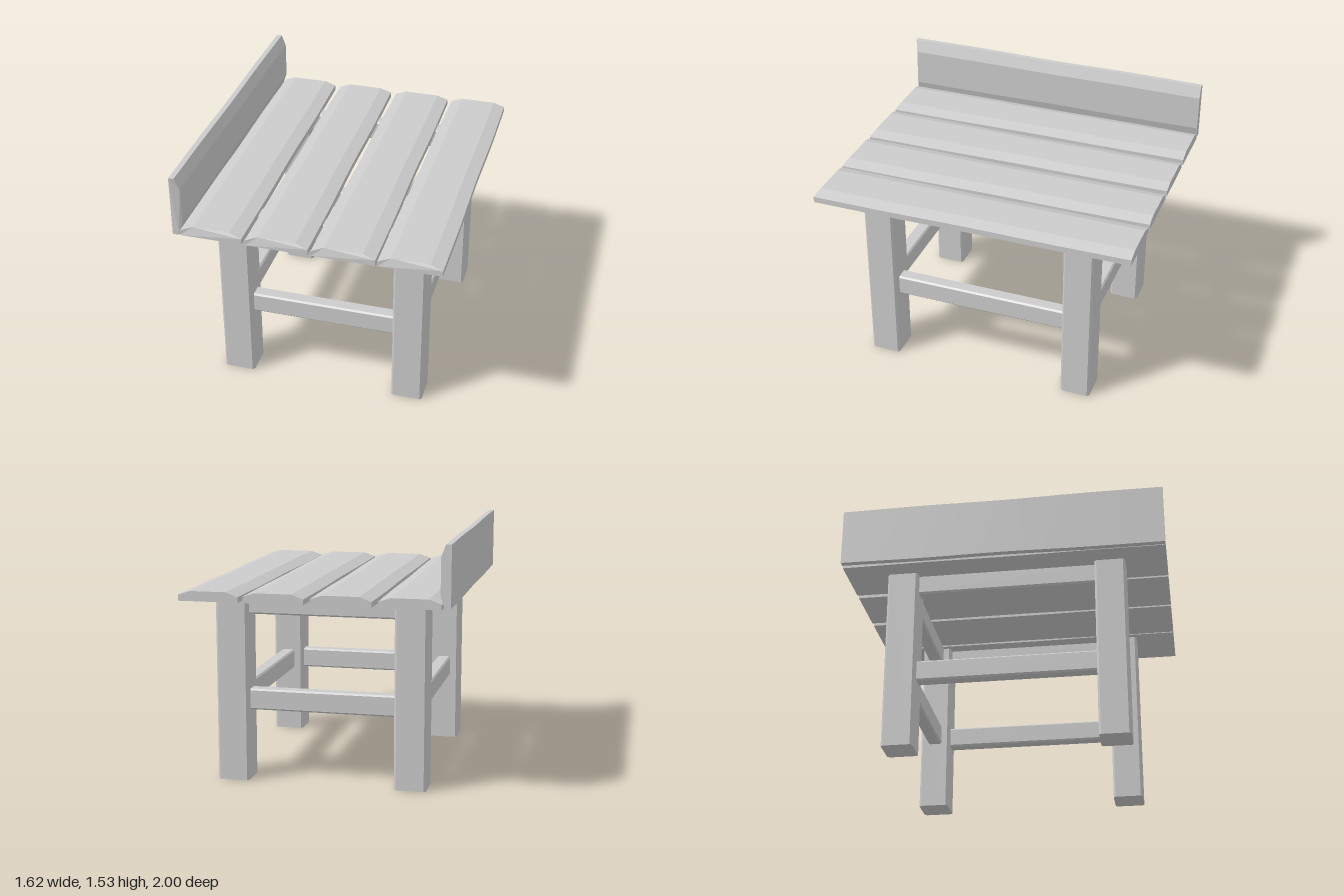
import * as THREE from 'three';

const material = new THREE.MeshStandardMaterial({ color: 0xcccccc, flatShading: true });

// Half width of a sawn plank from its back end to its front end
const edge = new THREE.SplineCurve([
  [-1, 0.182], [-0.5, 0.187], [0, 0.184], [0.5, 0.191], [1, 0.191],
].map(([z, w]) => new THREE.Vector2(z, w)));

// Crowned plank with slightly wavy edges, lying along z
function plankGeometry() {
  const profile = new THREE.Shape([
    [-1, 0], [1, 0], [1, 0.037], [0.6, 0.06], [-0.6, 0.06], [-1, 0.033],
  ].map(([x, y]) => new THREE.Vector2(x, y)));
  const geo = new THREE.ExtrudeGeometry(profile, { depth: 2, steps: 16, bevelEnabled: false });
  geo.translate(0, 0, -1);
  const p = geo.attributes.position;
  for (let i = 0; i < p.count; i++) {
    const z = p.getZ(i);
    p.setX(i, p.getX(i) * edge.getPoint((z + 1) / 2).y);
    // The crown is cut back a little at the front end
    if (z > 0.99 && p.getY(i) > 0.05) p.setZ(i, 0.986);
  }
  geo.computeVertexNormals();
  return geo;
}

// Square-cut timber with chamfered long edges, centred, lying along z
function beamGeometry(width, height, length, c) {
  const w = width / 2, h = height / 2;
  const profile = new THREE.Shape([
    [-w + c, -h], [w - c, -h], [w, -h + c], [w, h - c],
    [w - c, h], [-w + c, h], [-w, h - c], [-w, -h + c],
  ].map(([x, y]) => new THREE.Vector2(x, y)));
  const geo = new THREE.ExtrudeGeometry(profile, { depth: length, bevelEnabled: false });
  return geo.translate(0, 0, -length / 2);
}

export function createModel() {
  const model = new THREE.Group();
  model.name = 'plankBench';

  const add = (name, geo, x, y, z) => {
    const mesh = new THREE.Mesh(geo, material);
    mesh.name = name;
    mesh.position.set(x, y, z);
    model.add(mesh);
    return mesh;
  };

  // Seat planks and the upright side board
  const plank = plankGeometry();
  [-0.577, -0.175, 0.226, 0.619].forEach((x, i) => add(`seatPlank${i + 1}`, plank, x, 1.15, 0));
  add('sideBoard', plank, -0.812, 1.341, 0).rotation.z = -Math.PI / 2;

  // Legs
  const legX = [-0.539, 0.562], legZ = [-0.645, 0.65];
  const leg = beamGeometry(0.197, 0.19, 1.15, 0.013).rotateX(-Math.PI / 2);
  for (const x of legX) {
    for (const z of legZ) {
      add(`${z > 0 ? 'front' : 'back'}${x > 0 ? 'Left' : 'Right'}Leg`, leg, x, 0.575, z);
    }
  }

  // Upper and lower rails between the legs
  const sideRail = beamGeometry(0.088, 0.13, 1.12, 0.01);
  const crossRail = beamGeometry(0.088, 0.13, 0.92, 0.01).rotateY(Math.PI / 2);
  for (const [level, y] of [['lower', 0.502], ['upper', 1.097]]) {
    for (const x of legX) add(`${level}${x > 0 ? 'Left' : 'Right'}Rail`, sideRail, x, y, 0.003);
    for (const z of legZ) add(`${level}${z > 0 ? 'Front' : 'Back'}Rail`, crossRail, 0.012, y, z);
  }
  return model;
}
